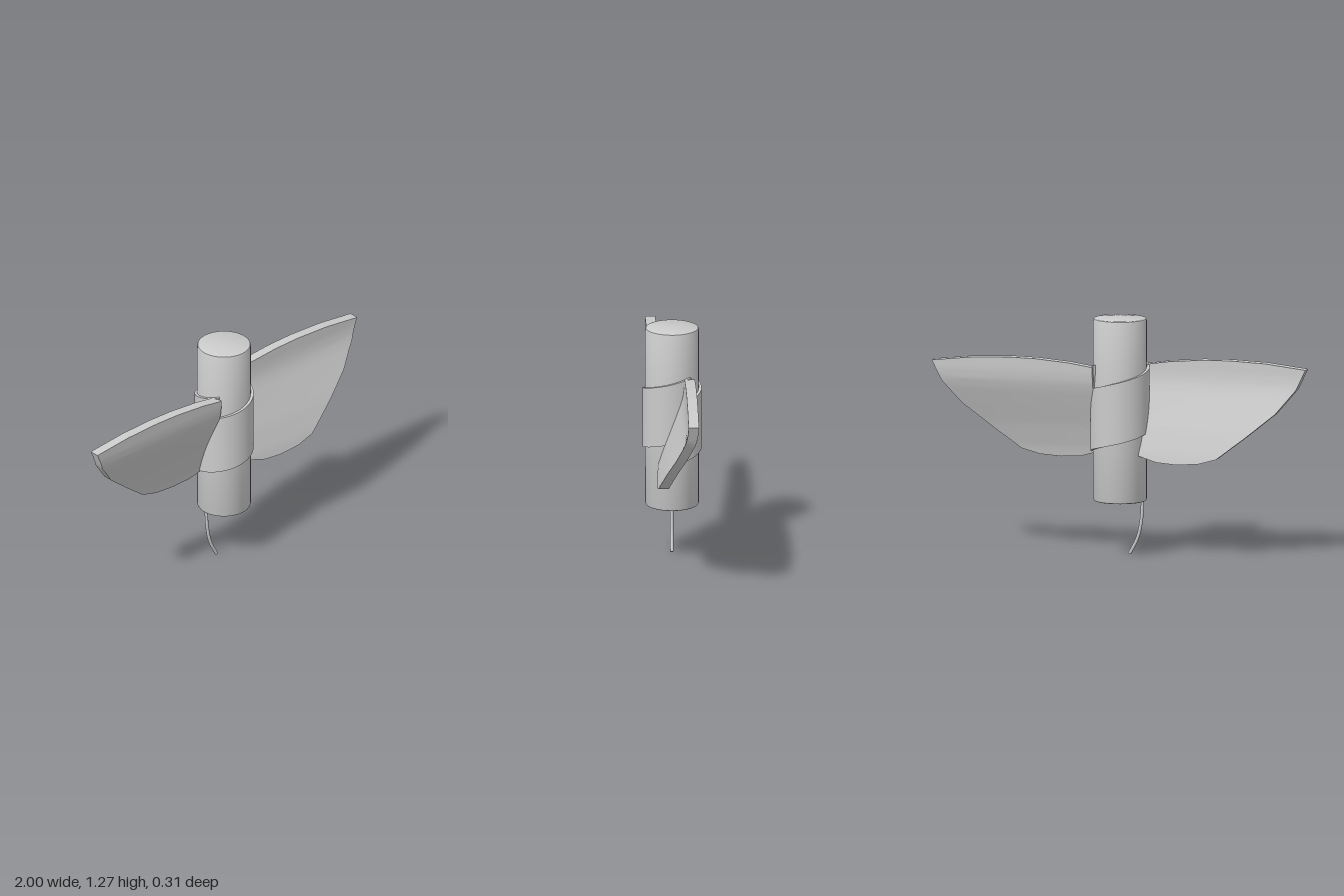
import * as THREE from 'three';
import { toCreasedNormals } from 'three/addons/utils/BufferGeometryUtils.js';

const lerp = THREE.MathUtils.lerp;

// piecewise linear lookup in a list of [key, value]
function sample(table, k) {
  for (let i = 1; i < table.length; i++) {
    const [k0, v0] = table[i - 1], [k1, v1] = table[i];
    if (k <= k1) return lerp(v0, v1, Math.max(0, (k - k0) / (k1 - k0)));
  }
  return table[table.length - 1][1];
}

// closed slab: face(u, v, side) gives a point, side 1 = outer skin, 0 = inner skin
function slab(us, rows, face) {
  const pos = [], idx = [], n = 2 * (rows + 1);
  for (const u of us) {
    for (let j = 0; j <= rows; j++) pos.push(...face(u, j / rows, 1));
    for (let j = rows; j >= 0; j--) pos.push(...face(u, j / rows, 0));
  }
  const quad = (a, b, c, d) => idx.push(a, b, c, a, c, d);
  for (let i = 0; i < us.length - 1; i++) {
    for (let j = 0; j < n; j++) {
      const k = (j + 1) % n, a = i * n, b = a + n;
      quad(a + j, b + j, b + k, a + k);
    }
  }
  const e = (us.length - 1) * n;
  for (let j = 0; j < rows; j++) {
    const k = n - 1 - j;
    quad(k, j, j + 1, k - 1);
    quad(e + j, e + k, e + k - 1, e + j + 1);
  }
  const g = new THREE.BufferGeometry();
  g.setAttribute('position', new THREE.Float32BufferAttribute(pos, 3));
  g.setIndex(idx);
  return toCreasedNormals(g, 0.6);
}

// blade outline (x, y) and its bend (y, z)
const topEdge = [[0.12, 1.015], [0.25, 1.035], [0.43, 1.05], [0.58, 1.053], [0.78, 1.045], [1, 1.02]];
const lowEdge = [[0.12, 0.545], [0.22, 0.515], [0.33, 0.507], [0.45, 0.515], [0.55, 0.543],
  [0.7, 0.66], [0.85, 0.785], [0.95, 0.91], [1, 1.02]];
const bend = [[0.5, 0.062], [0.56, 0.047], [0.68, 0.005], [0.8, -0.044], [0.88, -0.076],
  [0.93, -0.092], [0.98, -0.099], [1.06, -0.102]];

function bladeGeometry() {
  const keys = [...new Set([...topEdge, ...lowEdge].map(p => p[0]))].sort((a, b) => a - b);
  const xs = [keys[0]];
  for (let i = 1; i < keys.length; i++)
    for (let s = 1; s <= 3; s++) xs.push(lerp(keys[i - 1], keys[i], s / 3));
  return slab(xs, 24, (x, v, side) => {
    const y = lerp(sample(lowEdge, x), sample(topEdge, x), v);
    return [x, y, sample(bend, y) * (0.9 + 0.12 * x) + (side - 0.5) * 0.055];
  });
}

// half sleeve, rising from the foot of one blade to the head of the other
function sleeveGeometry() {
  const us = Array.from({ length: 49 }, (_, i) => i / 48);
  return slab(us, 14, (u, v, side) => {
    const y0 = 0.535 + 0.36 * v, y1 = y0 + 0.13;
    const start = -Math.acos(-sample(bend, y0) / 0.157);
    const end = Math.acos(sample(bend, y1) / 0.157);
    const a = lerp(start, end, u), r = side ? 0.157 : 0.135;
    return [r * Math.sin(a), lerp(y0, y1, u), r * Math.cos(a)];
  });
}

export function createModel() {
  const model = new THREE.Group();
  const mat = new THREE.MeshStandardMaterial({ color: 0xcccccc });
  const add = (geometry, name, turn = 0) => {
    const mesh = new THREE.Mesh(geometry, mat);
    mesh.name = name;
    mesh.rotation.y = turn;
    model.add(mesh);
  };

  // cylinder with softened rims
  const profile = [[0, 0.29], [0.132, 0.29], [0.139, 0.293], [0.142, 0.3],
    [0.142, 1.26], [0.139, 1.267], [0.132, 1.27], [0, 1.27]];
  const body = new THREE.LatheGeometry(profile.map(p => new THREE.Vector2(...p)), 64);
  add(toCreasedNormals(body, 0.7), 'body');

  // blades and sleeve halves, each repeated by a half turn
  const blade = bladeGeometry(), sleeve = sleeveGeometry();
  [['left', 0], ['right', Math.PI]].forEach(([side, turn]) => add(blade, side + 'Blade', turn));
  [['front', 0], ['back', Math.PI]].forEach(([side, turn]) => add(sleeve, side + 'Sleeve', turn));

  // curved wire hanging below, with a closed end
  const path = new THREE.CatmullRomCurve3([[-0.125, 0.31], [-0.119, 0.2], [-0.097, 0.095], [-0.053, 0.007]]
    .map(p => new THREE.Vector3(p[0], p[1], 0)));
  add(new THREE.TubeGeometry(path, 24, 0.009, 12), 'tailWire');
  const tip = new THREE.CircleGeometry(0.009, 12);
  tip.lookAt(path.getTangent(1));
  tip.translate(...path.getPoint(1).toArray());
  add(tip, 'tailWireTip');

  return model;
}
